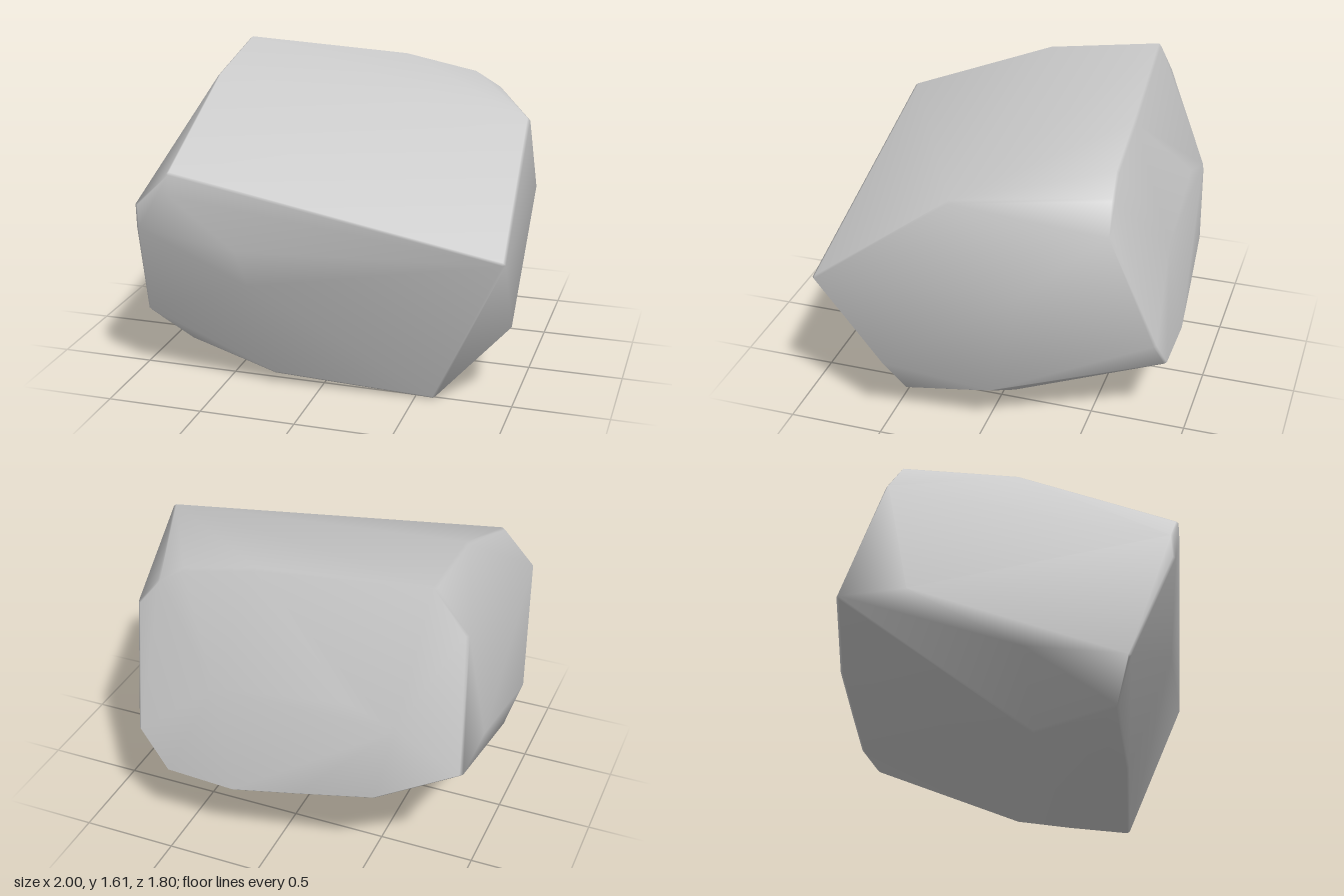
import * as THREE from 'three';
import { ConvexGeometry } from 'three/addons/geometries/ConvexGeometry.js';
import { mergeVertices } from 'three/addons/utils/BufferGeometryUtils.js';

// Corners of the stone, grouped by the side they bound
const corners = {
  top: [
    [-0.75, 1.61, -0.52], [0.15, 1.55, -0.6], [0.55, 1.47, -0.615], [0.68, 1.39, -0.63],
    [-0.71, 1.53, 0.09], [0.97, 1.41, 0.1], [-0.68, 1.21, 0.9],
  ],
  leftSide: [
    [1, 0.88, 0.82], [0.98, 0.42, 0.48], [0.96, 0.95, -0.25],
    [0.79, 1.25, -0.65], [0.71, 0.62, -0.875], [0.82, 0.25, -0.04],
  ],
  back: [
    [-0.43, 1.03, -0.79], [0.29, 0.96, -0.83], [-0.68, 0.95, -0.81],
    [0.18, 0.4, -0.9], [0.55, 0.42, -0.9], [-0.18, 0.46, -0.87], [-0.58, 0.53, -0.835],
  ],
  rightSide: [
    [-1, 0.74, -0.76], [-1, 0.76, -0.42], [-0.93, 1.4, -0.55],
    [-0.865, 1.03, 0.875], [-0.86, 0.91, 0.88], [-0.92, 0.37, 0.65], [-0.95, 0.43, 0.15],
  ],
  front: [
    [-0.35, 0.83, 0.87], [-0.3, 0.63, 0.82], [-0.68, 1.1, 0.9], [-0.72, 0.2, 0.57],
  ],
  base: [
    [0.6, 0, 0.52], [0.58, 0.04, 0.2], [0.55, 0.08, -0.09],
    [-0.25, 0.06, 0.58], [-0.6, 0.14, 0.15], [-0.6, 0.14, 0.45],
  ],
};

const center = new THREE.Vector3(0, 0.805, 0);
const halfSize = new THREE.Vector3(1, 0.805, 0.9);
const bevel = 0.015;

// Splits a corner into six points set slightly inside it, so the hull gets narrow bevels
function bevelCorner(corner) {
  const inner = new THREE.Vector3(...corner).lerp(center, bevel);
  return ['x', 'y', 'z'].flatMap((axis) => [-1, 1].map((sign) => {
    const point = inner.clone();
    point[axis] += sign * bevel * halfSize[axis];
    return point;
  }));
}

export function createModel() {
  const group = new THREE.Group();
  group.name = 'stone';

  // Hull of the bevelled corners; area-weighted normals keep faces flat and edges worn
  const hull = new ConvexGeometry(Object.values(corners).flat().flatMap(bevelCorner));
  hull.deleteAttribute('normal');
  const geometry = mergeVertices(hull);
  geometry.computeVertexNormals();

  const boulder = new THREE.Mesh(geometry, new THREE.MeshStandardMaterial({ color: 0xcccccc }));
  boulder.name = 'boulder';
  group.add(boulder);

  return group;
}
